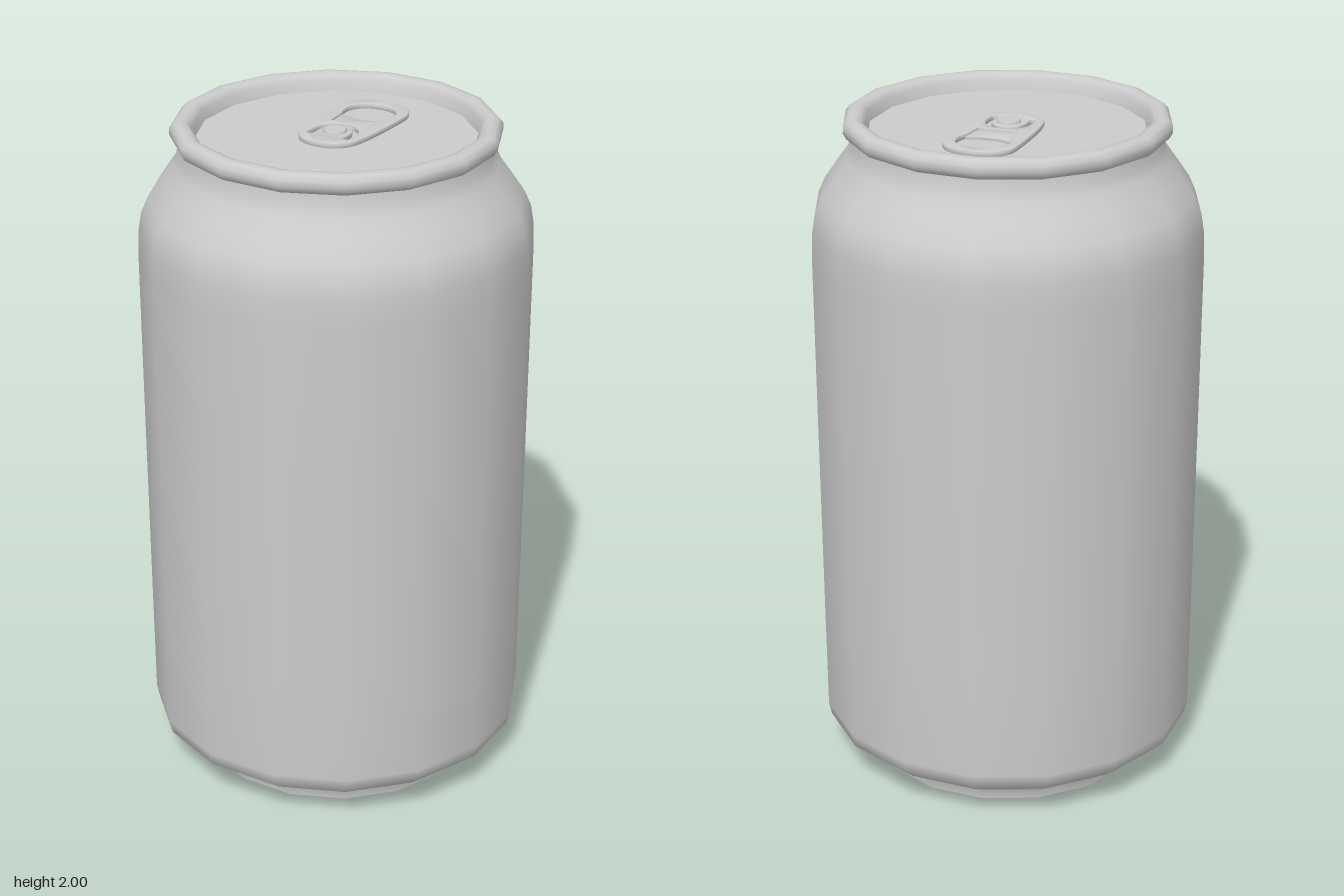
import * as THREE from 'three';
import { toCreasedNormals } from 'three/addons/utils/BufferGeometryUtils.js';

const SIDES = 16;
const FLAT = 1 / Math.cos(Math.PI / SIDES); // half-width across flats -> corner radius
const LID_Y = 1.95;

const material = new THREE.MeshStandardMaterial({ color: 0xcccccc });

function addMesh(parent, name, geometry) {
  const mesh = new THREE.Mesh(geometry, material);
  mesh.name = name;
  parent.add(mesh);
  return mesh;
}

// Sixteen-sided turned part with a flat side facing front
function turned(profile) {
  const points = profile.map(([r, y]) => new THREE.Vector2(r * FLAT, y));
  return new THREE.LatheGeometry(points, SIDES, Math.PI / SIDES);
}

// Flat plate lying on the lid; shape +y points to the back (-z)
function plate(shape, thickness, bevel) {
  const geometry = new THREE.ExtrudeGeometry(shape, {
    depth: thickness - 2 * bevel,
    bevelEnabled: true,
    bevelSize: bevel,
    bevelThickness: bevel,
    bevelOffset: -bevel,
    bevelSegments: 2,
    curveSegments: 8,
  });
  geometry.translate(0, 0, bevel);
  geometry.rotateX(-Math.PI / 2);
  return toCreasedNormals(geometry, 0.7);
}

function tabOutline() {
  const s = new THREE.Shape();
  s.moveTo(0, -0.113);
  s.bezierCurveTo(0.05, -0.113, 0.085, -0.085, 0.093, -0.045);
  s.bezierCurveTo(0.103, 0.0, 0.107, 0.08, 0.107, 0.2);
  s.bezierCurveTo(0.107, 0.26, 0.06, 0.29, 0, 0.29);
  s.bezierCurveTo(-0.06, 0.29, -0.107, 0.26, -0.107, 0.2);
  s.bezierCurveTo(-0.107, 0.08, -0.103, 0.0, -0.093, -0.045);
  s.bezierCurveTo(-0.085, -0.085, -0.05, -0.113, 0, -0.113);
  return s;
}

// Opening for the finger hole and the sunken web below it
function tabOpening() {
  const p = new THREE.Path();
  p.moveTo(-0.06, 0.07);
  p.lineTo(0.06, 0.07);
  p.lineTo(0.066, 0.14);
  p.bezierCurveTo(0.09, 0.19, 0.075, 0.25, 0, 0.25);
  p.bezierCurveTo(-0.075, 0.25, -0.09, 0.19, -0.066, 0.14);
  p.lineTo(-0.06, 0.07);
  return p;
}

// U-shaped slot around the rivet
function tabSlot() {
  const outer = 0.067, inner = 0.049, cy = -0.01, end = -0.045;
  const mid = (outer + inner) / 2, cap = (outer - inner) / 2;
  const p = new THREE.Path();
  p.moveTo(outer, end);
  p.lineTo(outer, cy);
  p.absarc(0, cy, outer, 0, Math.PI, false);
  p.lineTo(-outer, end);
  p.absarc(-mid, end, cap, Math.PI, 2 * Math.PI, false);
  p.lineTo(-inner, cy);
  p.absarc(0, cy, inner, Math.PI, 0, true);
  p.lineTo(inner, end);
  p.absarc(mid, end, cap, Math.PI, 2 * Math.PI, false);
  return p;
}

function tabWeb() {
  const s = new THREE.Shape();
  s.moveTo(-0.075, 0.05);
  s.lineTo(0.075, 0.05);
  s.lineTo(0.075, 0.15);
  s.quadraticCurveTo(0, 0.115, -0.075, 0.15);
  s.closePath();
  return s;
}

export function createModel() {
  const can = new THREE.Group();
  can.name = 'can';

  // Foot, wall, shoulder and neck
  addMesh(can, 'body', turned([
    [0.41, 0], [0.413, 0.025], [0.425, 0.05], [0.455, 0.068], [0.505, 0.09],
    [0.542, 0.12], [0.55, 0.16], [0.552, 0.5], [0.555, 1.1], [0.557, 1.6],
    [0.554, 1.68], [0.546, 1.73], [0.527, 1.775], [0.49, 1.83], [0.455, 1.88],
    [0.442, 1.91], [0.438, 1.94],
  ]));

  // Rolled rim down to the lid
  addMesh(can, 'rim', turned([
    [0.438, 1.94], [0.452, 1.947], [0.461, 1.963], [0.46, 1.982], [0.448, 1.996],
    [0.43, 2], [0.412, 1.995], [0.4, 1.98], [0.392, LID_Y],
  ]));

  addMesh(can, 'lid', turned([[0.392, LID_Y], [0.2, LID_Y], [0, LID_Y]]));

  // Inward dome under the can
  const dome = [];
  for (let i = 0; i <= 7; i++) {
    const r = 0.4 * i / 7;
    dome.push([r, 0.13 * (1 - (i / 7) ** 2)]);
  }
  dome.push([0.41, 0]);
  addMesh(can, 'baseDome', turned(dome));

  // Pull tab
  const tab = new THREE.Group();
  tab.name = 'pullTab';
  tab.position.y = LID_Y + 0.001;
  can.add(tab);

  const outline = tabOutline();
  outline.holes.push(tabOpening(), tabSlot());
  addMesh(tab, 'tabFrame', plate(outline, 0.016, 0.004));
  addMesh(tab, 'tabWeb', plate(tabWeb(), 0.009, 0.002));

  // Rivet button
  const rivetProfile = [[0.036, 0], [0.034, 0.02], [0.029, 0.024], [0.026, 0.022], [0, 0.022]];
  const rivet = new THREE.LatheGeometry(rivetProfile.map(([r, y]) => new THREE.Vector2(r, y)), 20);
  addMesh(tab, 'rivet', rivet).position.z = 0.01;

  return can;
}
